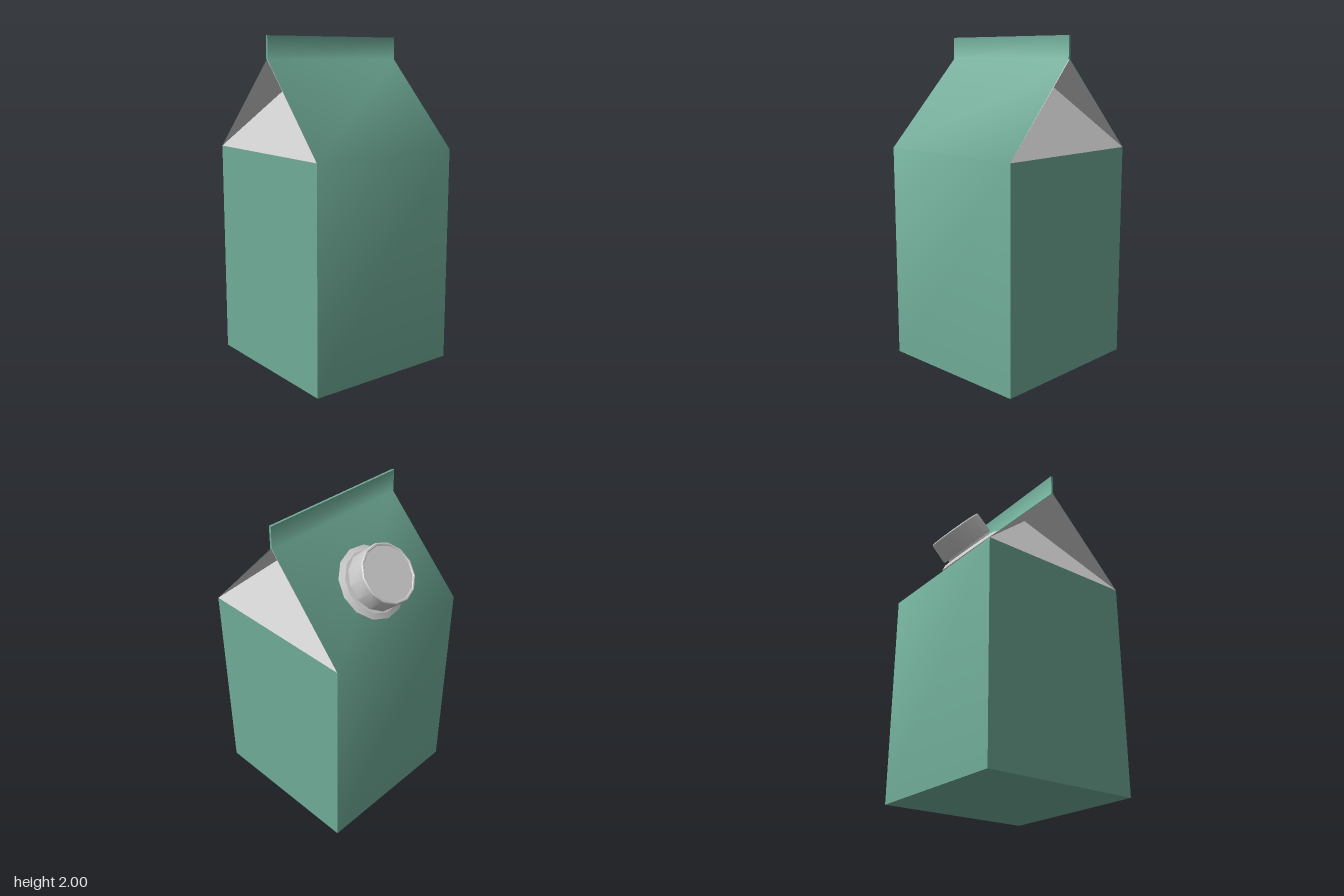
import * as THREE from 'three';
import { toCreasedNormals } from 'three/addons/utils/BufferGeometryUtils.js';

const EAVE = 1.33, RIDGE = 1.865, TOP = 2, FRONT = 0.515, BACK = -0.49, MID = 0.015;
const HALF = 0.5, TOP_HALF = 0.48, FIN = 0.007;

const green = new THREE.MeshStandardMaterial({ color: 0x6fab97, side: THREE.DoubleSide });
const grey = new THREE.MeshStandardMaterial({ color: 0xcccccc, side: THREE.DoubleSide });

function surface(points, index) {
  const g = new THREE.BufferGeometry();
  g.setAttribute('position', new THREE.Float32BufferAttribute(points.flat(), 3));
  if (index) g.setIndex(index);
  g.computeVertexNormals();
  return g;
}

// Sheet swept up through rows of [half width, y, z]; dir +1 faces front, -1 back
function sheet(rows, dir) {
  const points = [], index = [];
  rows.forEach(([w, y, z], i) => {
    points.push([-w * dir, y, z], [w * dir, y, z]);
    if (i) {
      const a = 2 * i - 2;
      index.push(a, a + 1, a + 3, a, a + 3, a + 2);
    }
  });
  return surface(points, index);
}

// Flat four-sided panel, corners anticlockwise seen from outside
const quad = (...c) => surface(c, [0, 1, 2, 0, 2, 3]);

export function createModel() {
  const model = new THREE.Group();
  const add = (name, geometry, material, parent = model) => {
    const mesh = new THREE.Mesh(geometry, material);
    mesh.name = name;
    parent.add(mesh);
    return mesh;
  };

  // Front and back: wall, sloping roof and upright fin in one folded sheet
  for (const [name, dir, z] of [['frontPanel', 1, FRONT], ['backPanel', -1, BACK]]) {
    const fin = MID + dir * FIN;
    add(name, sheet([[HALF, 0, z], [HALF, EAVE, z], [TOP_HALF, RIDGE, fin], [TOP_HALF, TOP, fin]], dir), green);
  }
  add('finTop', sheet([[TOP_HALF, TOP, MID + FIN], [TOP_HALF, TOP, MID - FIN]], 1), green);
  add('bottom', sheet([[HALF, 0, BACK], [HALF, 0, FRONT]], 1), green);

  // Side walls, fin ends and the gussets folded in under the roof
  for (const [name, s] of [['left', 1], ['right', -1]]) {
    const order = (c) => (s > 0 ? c : c.reverse());
    add(name + 'Wall', quad(...order([
      [s * HALF, 0, FRONT], [s * HALF, 0, BACK], [s * HALF, EAVE, BACK], [s * HALF, EAVE, FRONT],
    ])), green);
    add(name + 'FinEnd', quad(...order([
      [s * TOP_HALF, RIDGE, MID + FIN], [s * TOP_HALF, RIDGE, MID - FIN],
      [s * TOP_HALF, TOP, MID - FIN], [s * TOP_HALF, TOP, MID + FIN],
    ])), green);

    const f = [s * HALF, EAVE, FRONT], k = [s * HALF, EAVE, BACK];
    const apex = [s * 0.2, 1.81, MID], ridge = [s * TOP_HALF, RIDGE, MID];
    add(name + 'Gusset', surface([[f, k, apex], [f, apex, ridge], [k, ridge, apex]].flatMap(order)), grey);
  }

  // Screw cap standing square on the back slope of the roof
  const spout = new THREE.Group();
  spout.name = 'spout';
  spout.position.set(0, 1.565, -0.268);
  spout.rotation.x = -Math.atan2(RIDGE - EAVE, MID - BACK);
  model.add(spout);

  const turned = (profile, start, crease) => toCreasedNormals(
    new THREE.LatheGeometry(profile.map(([r, y]) => new THREE.Vector2(r, y)), 13, start), crease);

  // Flange and neck
  add('flange', turned(
    [[0.222, -0.01], [0.222, 0.008], [0.19, 0.022], [0.155, 0.024], [0.15, 0.05]], Math.PI / 2, 0.3), grey, spout);
  // Cap with a small bevelled rim around a slightly sunken top
  add('cap', turned(
    [[0, 0.038], [0.18, 0.038], [0.182, 0.044], [0.18, 0.168], [0.175, 0.174],
      [0.167, 0.174], [0.163, 0.169], [0, 0.169]], -Math.PI / 2, 0.55), grey, spout);

  return model;
}
